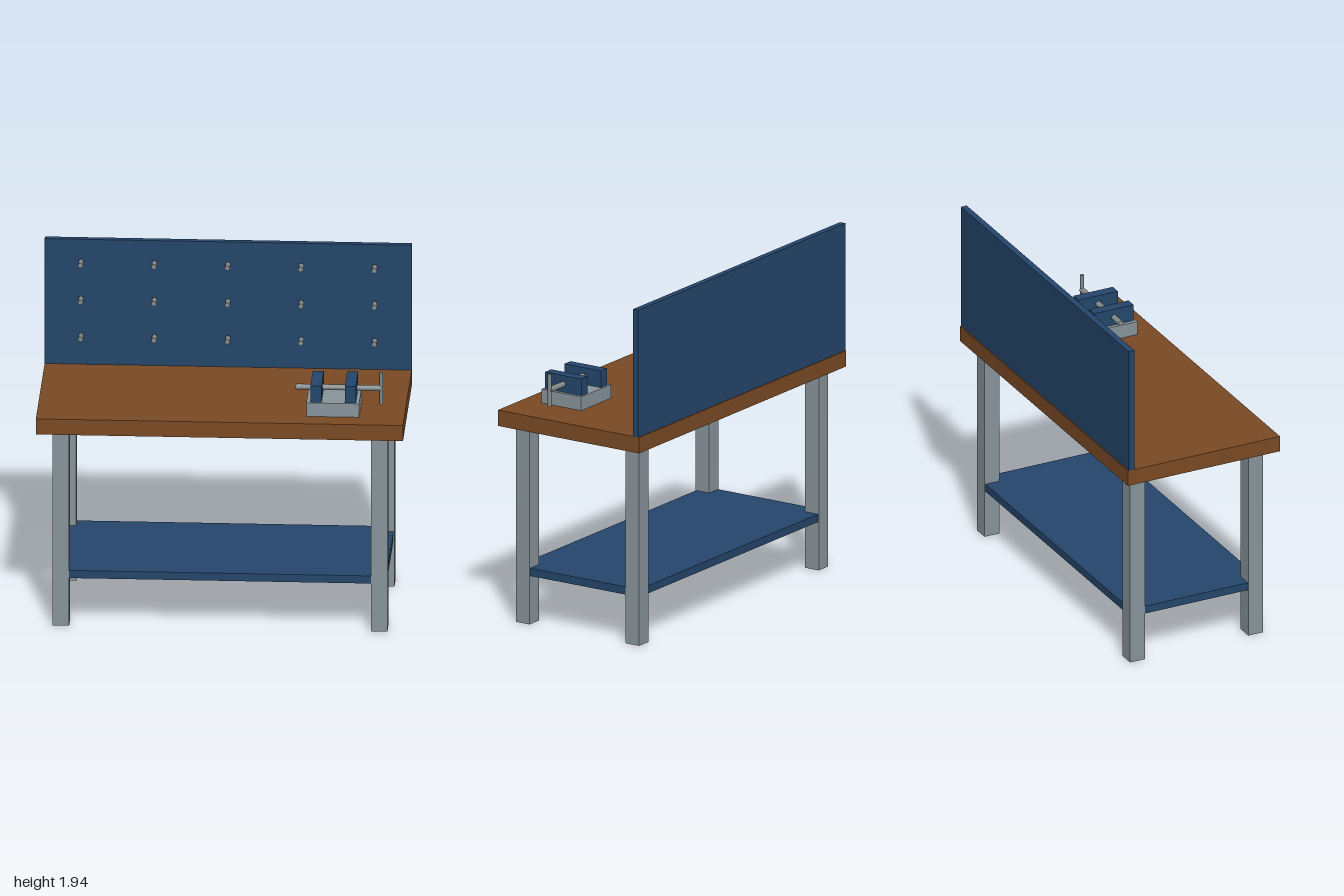
import * as THREE from 'three';

const material = (name, color) => {
  const m = new THREE.MeshStandardMaterial({ color });
  m.name = name;
  return m;
};

export function createModel() {
  const wood = material('wood', 0x7a4a24);
  const blue = material('blue paint', 0x24466b);
  const steel = material('grey steel', 0x87949b);
  const bare = material('bare metal', 0x858c8e);

  const bench = new THREE.Group();
  bench.name = 'workbench';

  // Box given by its extents on each axis
  const box = (name, mat, [x0, x1], [y0, y1], [z0, z1], parent = bench) => {
    const mesh = new THREE.Mesh(new THREE.BoxGeometry(x1 - x0, y1 - y0, z1 - z0), mat);
    mesh.position.set((x0 + x1) / 2, (y0 + y1) / 2, (z0 + z1) / 2);
    mesh.name = name;
    parent.add(mesh);
    return mesh;
  };

  // Rod along one axis, given by its centre
  const rod = (name, axis, radius, length, sides, [x, y, z], parent) => {
    const geometry = new THREE.CylinderGeometry(radius, radius, length, sides);
    if (axis === 'x') geometry.rotateZ(Math.PI / 2);
    if (axis === 'z') geometry.rotateX(Math.PI / 2);
    const mesh = new THREE.Mesh(geometry, bare);
    mesh.position.set(x, y, z);
    mesh.name = name;
    parent.add(mesh);
  };

  // Worktop and back panel
  box('worktop', wood, [-1, 1], [1.124, 1.214], [-0.465, 0.465]);
  box('backPanel', blue, [-1, 1], [1.214, 1.936], [-0.459, -0.424]);

  // Four square legs
  for (const sx of [-1, 1]) {
    for (const sz of [-1, 1]) {
      const leg = box('leg', steel, [-0.045, 0.045], [0, 1.124], [-0.045, 0.045]);
      leg.position.x = sx * 0.867;
      leg.position.z = sz * 0.361;
    }
  }

  // Lower shelf, running into the legs
  box('shelf', blue, [-0.907, 0.907], [0.274, 0.318], [-0.401, 0.401]);

  // Tool pegs in front of the panel
  const pegs = new THREE.Group();
  pegs.name = 'toolPegs';
  bench.add(pegs);
  for (const y of [1.39, 1.603, 1.816]) {
    for (const x of [-0.8, -0.4, 0, 0.4, 0.8]) {
      rod('peg', 'z', 0.015, 0.064, 8, [x, y, -0.366], pegs);
    }
  }

  // Vise: base, two jaws, screw and handle
  const vise = new THREE.Group();
  vise.name = 'vise';
  bench.add(vise);
  box('viseBase', steel, [0.467, 0.755], [1.214, 1.292], [0.083, 0.346], vise);
  box('fixedJaw', blue, [0.489, 0.549], [1.292, 1.387], [0.094, 0.334], vise);
  box('movingJaw', blue, [0.676, 0.736], [1.292, 1.387], [0.094, 0.334], vise);
  rod('viseScrew', 'x', 0.016, 0.466, 12, [0.636, 1.338, 0.214], vise);
  rod('viseHandle', 'y', 0.011, 0.184, 8, [0.868, 1.337, 0.214], vise);

  return bench;
}
